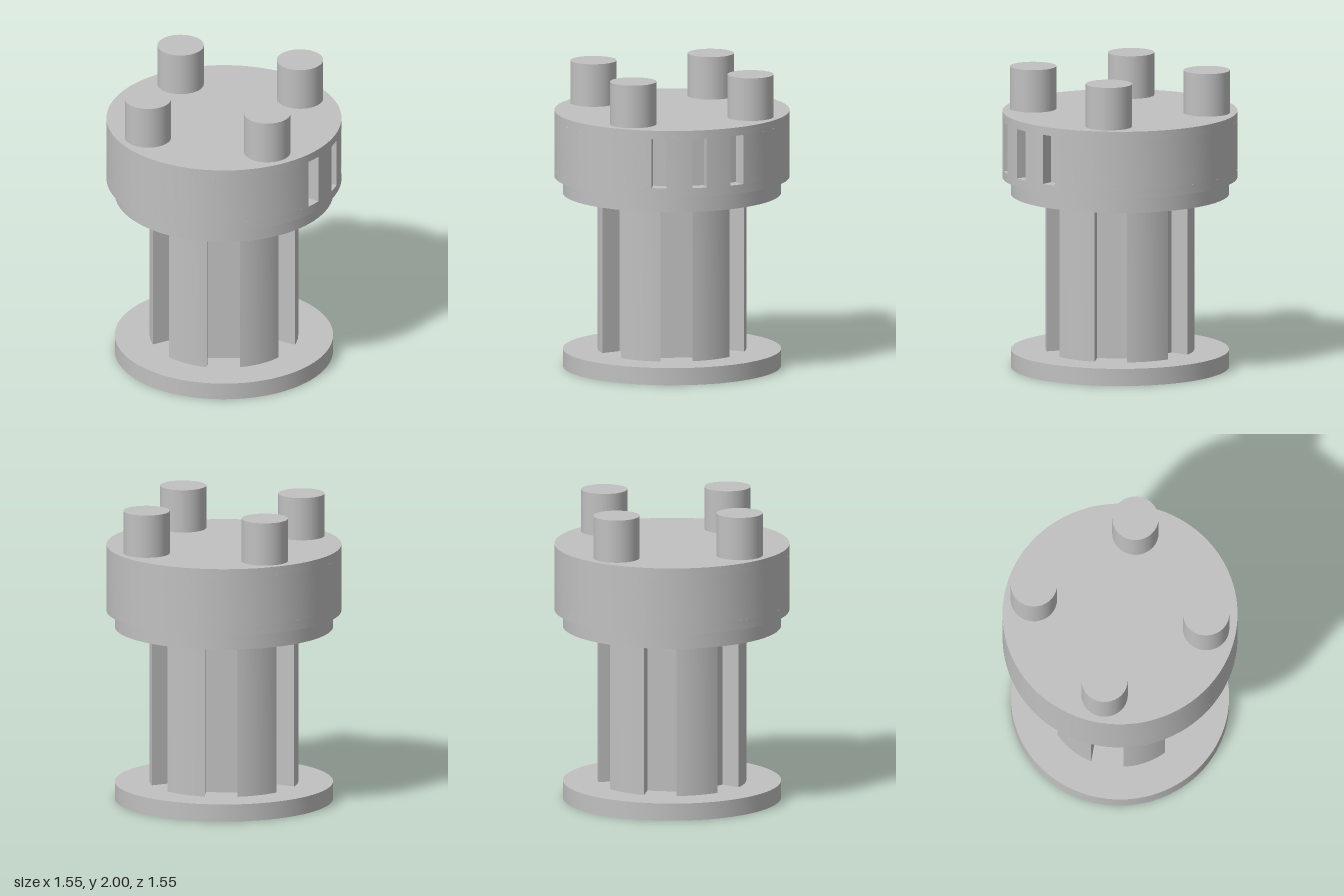
import * as THREE from 'three';
import { toCreasedNormals } from 'three/addons/utils/BufferGeometryUtils.js';

const SEGMENTS = 96;
const rad = THREE.MathUtils.degToRad;

// Point on a plan: distance along direction a, offset sideways; stored as (x, z)
const planPoint = (a, along, side = 0) => new THREE.Vector2(
  Math.sin(a) * along + Math.cos(a) * side,
  Math.cos(a) * along - Math.sin(a) * side
);

// Circle plan with straight-sided, flat-bottomed slots cut at the given angles
function slottedOutline(radius, angles, halfWidth, floor) {
  const half = Math.asin(halfWidth / radius);
  const points = [];
  angles.forEach((a, i) => {
    const next = i + 1 < angles.length ? angles[i + 1] : angles[0] + Math.PI * 2;
    points.push(planPoint(a, floor, -halfWidth), planPoint(a, floor, halfWidth));
    const start = a + half, end = next - half;
    const steps = Math.ceil((end - start) / (Math.PI * 2) * SEGMENTS);
    for (let k = 0; k <= steps; k++) points.push(planPoint(start + (end - start) * k / steps, radius));
  });
  return points;
}

// Upright wall following a closed outline
function wallGeometry(outline, y0, y1) {
  const positions = [];
  outline.forEach((p, i) => {
    const q = outline[(i + 1) % outline.length];
    positions.push(p.x, y0, p.y, q.x, y0, q.y, p.x, y1, p.y);
    positions.push(q.x, y1, q.y, p.x, y1, p.y, q.x, y0, q.y);
  });
  const geometry = new THREE.BufferGeometry();
  geometry.setAttribute('position', new THREE.Float32BufferAttribute(positions, 3));
  return toCreasedNormals(geometry, 0.6);
}

// Turned part from a profile of [radius, height], listed upward on the outside
function turned(profile) {
  const points = profile.map(([r, y]) => new THREE.Vector2(r, y));
  return toCreasedNormals(new THREE.LatheGeometry(points, SEGMENTS), 0.6);
}

export function createModel() {
  const model = new THREE.Group();
  model.name = 'slottedSpool';
  const metal = new THREE.MeshStandardMaterial({ color: 0xc0c0c0 });
  metal.name = 'grey metal';

  const add = (name, geometry, parent = model) => {
    const mesh = new THREE.Mesh(geometry, metal);
    mesh.name = name;
    parent.add(mesh);
    return mesh;
  };

  // Base flange
  add('baseFlange', turned([[0, 0], [0.72, 0], [0.72, 0.115], [0, 0.115]]));

  // Core with six lengthwise grooves
  const grooves = [30, 90, 150, 210, 270, 330].map(rad);
  add('groovedCore', wallGeometry(slottedOutline(0.49, grooves, 0.108, 0.343), 0.115, 1.16));

  // Head: collar and lower rim, windowed band, upper rim and top
  const R = 0.775, low = 1.33, high = 1.66, top = 1.715;
  const head = new THREE.Group();
  head.name = 'head';
  model.add(head);
  add('collarAndLowerRim', turned([[0, 1.16], [0.72, 1.16], [0.72, 1.27], [R, 1.27], [R, low]]), head);
  add('upperRimAndTop', turned([[R, high], [R, top], [0, top]]), head);

  const windows = [20, 40, 60].map(rad);
  const halfWidth = 0.05, back = 0.683;
  add('windowBand', wallGeometry(slottedOutline(R, windows, halfWidth, back), low, high), head);

  // Sill and lintel closing each window recess
  const half = Math.asin(halfWidth / R);
  for (const a of windows) {
    const plan = [
      planPoint(a, back, -halfWidth), planPoint(a, back, halfWidth),
      planPoint(a + half, R), planPoint(a, R), planPoint(a - half, R)
    ];
    const sill = new THREE.ShapeGeometry(new THREE.Shape(plan.map(p => new THREE.Vector2(p.x, -p.y))));
    add('windowSill', sill.rotateX(-Math.PI / 2).translate(0, low, 0), head);
    const lintel = new THREE.ShapeGeometry(new THREE.Shape(plan));
    add('windowLintel', lintel.rotateX(Math.PI / 2).translate(0, high, 0), head);
  }

  // Four pegs on top
  for (let i = 0; i < 4; i++) {
    const p = planPoint(i * Math.PI / 2, 0.577);
    const peg = add('peg', new THREE.CylinderGeometry(0.153, 0.153, 2 - top, 48));
    peg.position.set(p.x, (2 + top) / 2, p.y);
  }

  return model;
}
